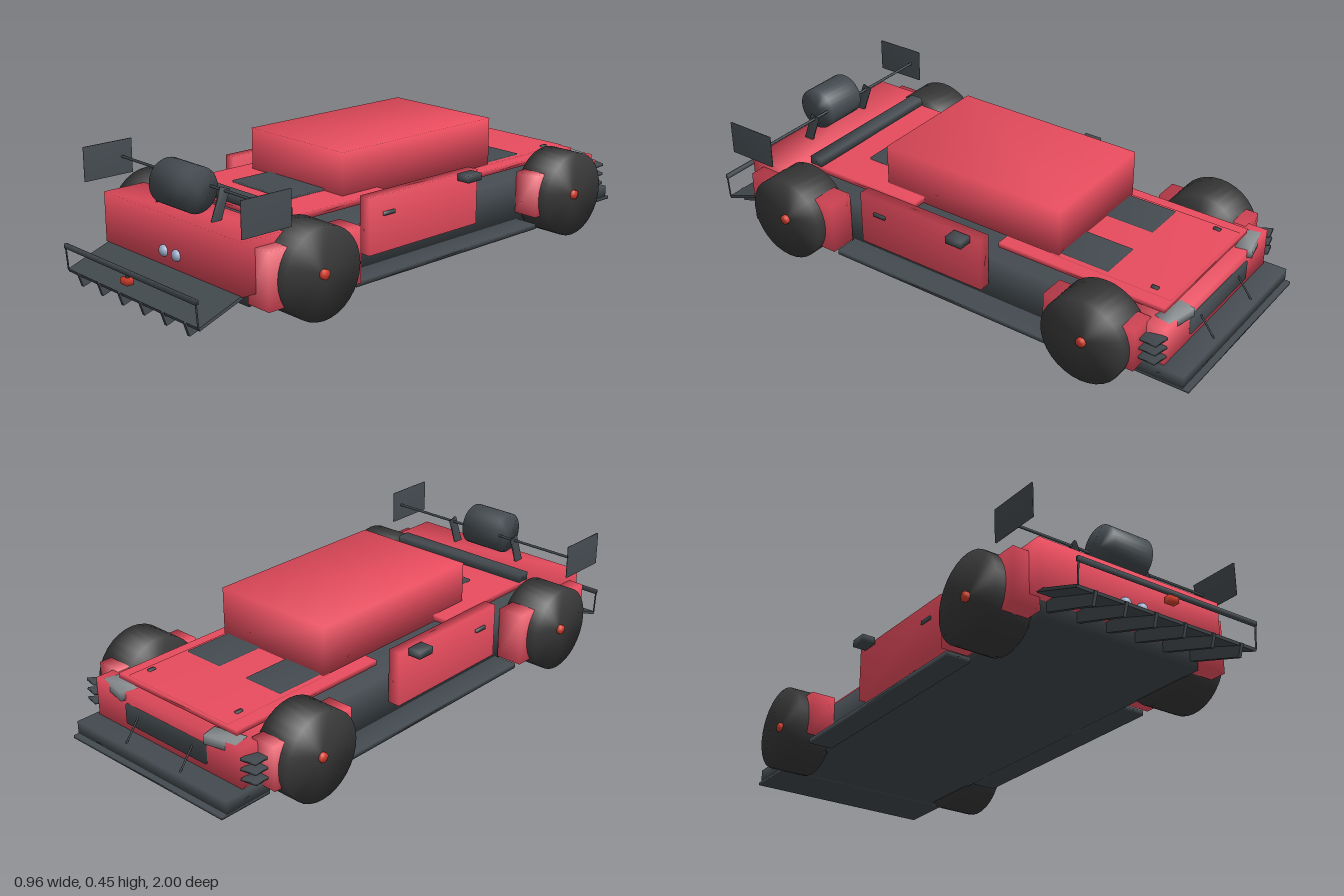
import * as THREE from 'three';
import { mergeVertices } from 'three/addons/utils/BufferGeometryUtils.js';

const paint = (color) => new THREE.MeshStandardMaterial({ color });
const RED = paint(0xe84c5e), DARK = paint(0x444b50), TYRE = paint(0x383838);
const HUB = paint(0xd8402f), LAMP = paint(0x8a8f92), CHROME = paint(0x9fb0cc);

// Weld shared corners so shading runs smoothly over every edge
function soften(geometry) {
  geometry.deleteAttribute('normal');
  geometry.deleteAttribute('uv');
  const welded = mergeVertices(geometry);
  welded.computeVertexNormals();
  return welded;
}

export function createModel() {
  const car = new THREE.Group();
  car.name = 'raceCar';

  function add(name, geometry, material, x = 0, y = 0, z = 0) {
    const mesh = new THREE.Mesh(geometry, material);
    mesh.name = name;
    mesh.position.set(x, y, z);
    car.add(mesh);
    return mesh;
  }

  // Box given by its limits on each axis
  function box(name, material, [x0, x1], [y0, y1], [z0, z1]) {
    return add(name, soften(new THREE.BoxGeometry(x1 - x0, y1 - y0, z1 - z0)), material,
      (x0 + x1) / 2, (y0 + y1) / 2, (z0 + z1) / 2);
  }

  // Box centred on x = 0
  const wide = (name, material, half, y, z) => box(name, material, [-half, half], y, z);

  // Same box on both sides
  function pair(name, material, [x0, x1], y, z) {
    return [
      box(name + 'Left', material, [x0, x1], y, z),
      box(name + 'Right', material, [-x1, -x0], y, z),
    ];
  }

  // Cylinder lying along x
  function barrel(name, material, radius, [x0, x1], y, z, sides = 32) {
    const geometry = new THREE.CylinderGeometry(radius, radius, x1 - x0, sides).rotateZ(Math.PI / 2);
    return add(name, soften(geometry), material, (x0 + x1) / 2, y, z);
  }

  // Thin rod between two points
  function rod(name, from, to, radius = 0.003) {
    const a = new THREE.Vector3(...from), b = new THREE.Vector3(...to);
    const mesh = add(name, new THREE.CylinderGeometry(radius, radius, a.distanceTo(b), 8), DARK);
    mesh.position.copy(a).add(b).multiplyScalar(0.5);
    mesh.quaternion.setFromUnitVectors(new THREE.Vector3(0, 1, 0), b.sub(a).normalize());
  }

  // Chassis and side skirts
  wide('chassis', DARK, 0.32, [0.055, 0.225], [-0.83, 0.76]);
  pair('sideSkirt', DARK, [0.32, 0.41], [0.05, 0.068], [-0.5, 0.39]);

  // Body panels
  wide('cabin', RED, 0.235, [0.27, 0.445], [-0.43, 0.29]);
  wide('hood', RED, 0.28, [0.248, 0.267], [-0.855, -0.22]);
  wide('hoodCentre', RED, 0.235, [0.255, 0.272], [-0.85, -0.4]);
  wide('engineCover', RED, 0.29, [0.275, 0.297], [0.13, 0.6]);
  wide('tailBody', RED, 0.37, [0.115, 0.29], [0.64, 0.82]);
  wide('nose', RED, 0.345, [0.1, 0.245], [-0.9, -0.73]);
  pair('tailFender', RED, [0.33, 0.43], [0.07, 0.262], [0.39, 0.77]);
  pair('noseFender', RED, [0.32, 0.415], [0.095, 0.25], [-0.83, -0.49]);
  pair('door', RED, [0.33, 0.375], [0.125, 0.322], [-0.215, 0.3]);

  // Vents, trim and small fittings
  wide('coverVent', DARK, 0.145, [0.29, 0.304], [0.28, 0.45]);
  wide('coverLip', DARK, 0.292, [0.297, 0.327], [0.555, 0.605]);
  wide('grille', DARK, 0.19, [0.135, 0.205], [-0.908, -0.89]);
  pair('hoodVent', DARK, [0.065, 0.22], [0.262, 0.277], [-0.61, -0.425]);
  pair('hoodPin', DARK, [0.202, 0.214], [0.265, 0.278], [-0.79, -0.765]);
  pair('doorHandle', DARK, [0.372, 0.382], [0.252, 0.264], [0.19, 0.24]);
  pair('mirror', DARK, [0.38, 0.43], [0.302, 0.328], [-0.175, -0.11]);
  pair('mirrorStem', DARK, [0.365, 0.4], [0.306, 0.316], [-0.15, -0.135]);

  // Headlamps swept back along the nose corners
  pair('headlamp', LAMP, [0.19, 0.31], [0.215, 0.247], [-0.905, -0.845])
    .forEach((lamp, i) => { lamp.rotation.y = i ? 0.22 : -0.22; });

  // Wheels with hub nuts
  for (const s of [1, -1]) {
    const span = (a, b) => (s > 0 ? [a, b] : [-b, -a]);
    const side = s > 0 ? 'Left' : 'Right';
    barrel('tailWheel' + side, TYRE, 0.155, span(0.315, 0.465), 0.157, 0.58);
    barrel('tailHub' + side, HUB, 0.017, span(0.46, 0.478), 0.157, 0.58, 12);
    barrel('noseWheel' + side, TYRE, 0.155, span(0.31, 0.45), 0.157, -0.66);
    barrel('noseHub' + side, HUB, 0.017, span(0.445, 0.46), 0.157, -0.66, 12);

    // Stacked dive planes beside the nose
    for (const y of [0.14, 0.175, 0.21]) {
      const plane = box('divePlane', DARK, span(0.34, 0.395), [y - 0.004, y + 0.004], [-0.905, -0.825]);
      plane.rotation.set(0.2, -0.25 * s, 0);
    }

    // Splitter stay
    rod('splitterStay', [0.13 * s, 0.2, -0.89], [0.13 * s, 0.1, -0.965]);

    // Wing end plate and strut
    box('wingEndPlate', DARK, span(0.418, 0.424), [0.32, 0.44], [0.67, 0.86]);
    const strut = box('wingStrut', DARK, span(0.144, 0.152), [0.28, 0.395], [0.71, 0.745]);
    strut.rotation.x = -0.35;

    // Exhaust tip
    const tip = add('exhaustTip' + side, new THREE.SphereGeometry(0.02, 20, 14), CHROME, 0.034 * s, 0.165, 0.82);
    tip.scale.set(1, 1, 0.85);

    // Upright holding the diffuser bar
    rod('diffuserBarPost', [0.357 * s, 0.055, 0.98], [0.357 * s, 0.145, 0.987]);
  }

  // Splitter under the nose
  wide('splitter', DARK, 0.36, [0.06, 0.107], [-0.98, -0.8]);
  wide('splitterBlade', DARK, 0.36, [0.052, 0.062], [-1, -0.8]);

  // Wing rod and central drum
  rod('wingRod', [-0.42, 0.382, 0.71], [0.42, 0.382, 0.71], 0.005);
  barrel('wingDrum', DARK, 0.077, [-0.079, 0.079], 0.378, 0.76);

  // Sloping diffuser: plate plus fins hanging beneath it
  const outline = (points) => new THREE.Shape(points.map(([z, y]) => new THREE.Vector2(-z, y)));
  function profile(name, points, x0, x1) {
    const geometry = new THREE.ExtrudeGeometry(outline(points), { depth: x1 - x0, bevelEnabled: false });
    add(name, geometry.rotateY(Math.PI / 2), DARK, x0);
  }
  profile('diffuserPlate', [[0.74, 0.145], [0.98, 0.057], [0.977, 0.047], [0.74, 0.133]], -0.36, 0.36);
  for (let i = 0; i < 6; i++) {
    const x = -0.2925 + i * 0.117;
    profile('diffuserFin', [[0.74, 0.14], [0.985, 0.055], [0.97, 0.01], [0.74, 0.085]], x - 0.006, x + 0.006);
  }

  // Bar over the diffuser and the rain lamp below it
  wide('diffuserBar', DARK, 0.36, [0.132, 0.147], [0.979, 0.991]);
  wide('rainLamp', HUB, 0.019, [0.102, 0.122], [0.975, 1]);
  wide('rainLampStem', DARK, 0.004, [0.12, 0.135], [0.981, 0.989]);

  return car;
}
